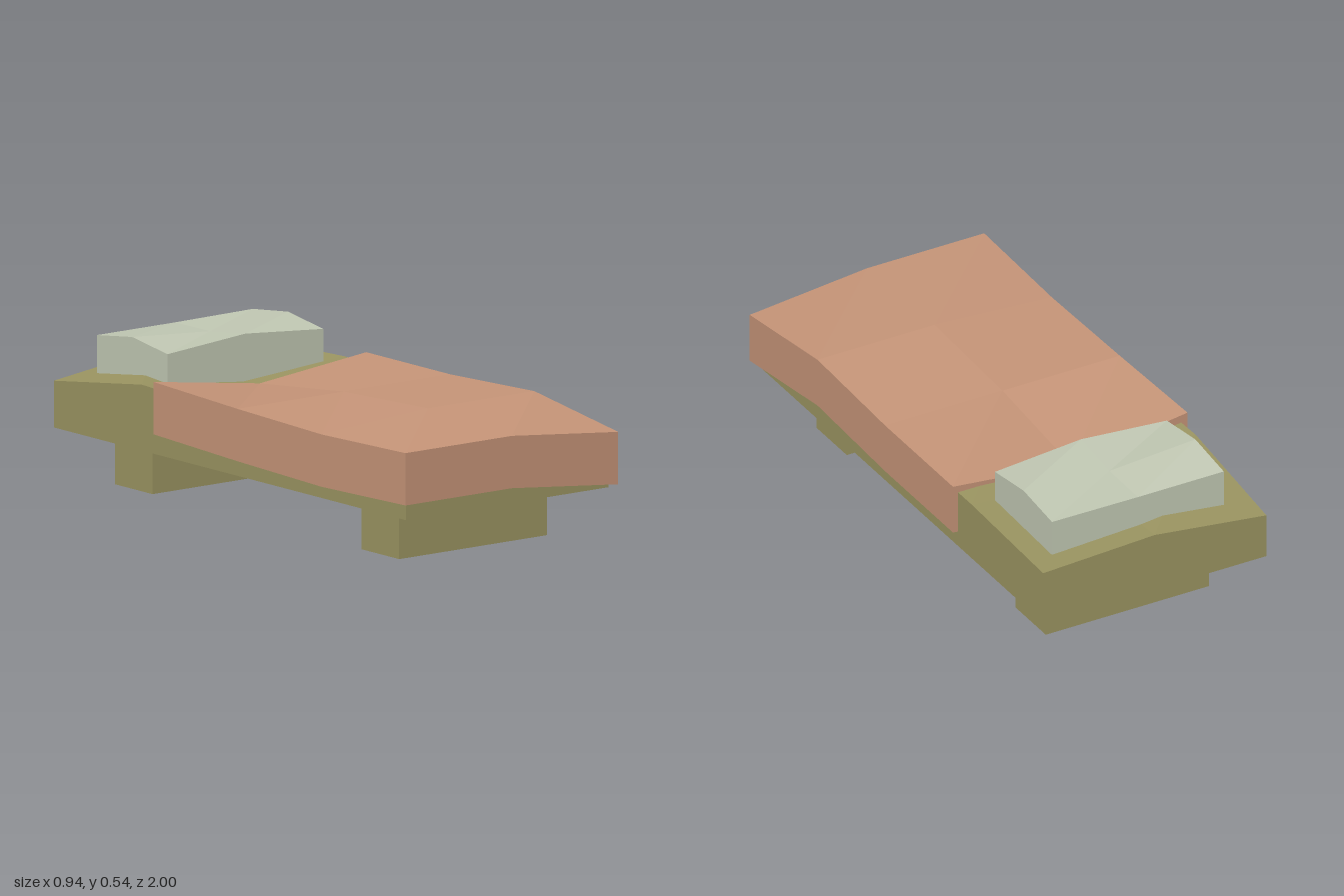
import * as THREE from 'three';

const material = (color) =>
  new THREE.MeshStandardMaterial({ color, flatShading: true, side: THREE.DoubleSide });

// Box whose top follows a grid of heights: one row per z step (back to front),
// one entry per x step (-x to +x). The underside is flat at `base`, or runs
// parallel to the top when `thickness` is given.
function slab(name, mat, [x0, x1], [z0, z1], tops, { base = 0, thickness = 0 }) {
  const cols = tops[0].length - 1;
  const rows = tops.length - 1;
  const geo = new THREE.BoxGeometry(1, 1, 1, cols, 1, rows);
  const p = geo.attributes.position;
  for (let i = 0; i < p.count; i++) {
    const u = p.getX(i) + 0.5;
    const v = p.getZ(i) + 0.5;
    const top = tops[Math.round(v * rows)][Math.round(u * cols)];
    const y = p.getY(i) > 0 ? top : thickness ? top - thickness : base;
    p.setXYZ(i, x0 + u * (x1 - x0), y, z0 + v * (z1 - z0));
  }
  geo.computeVertexNormals();
  const mesh = new THREE.Mesh(geo, mat);
  mesh.name = name;
  return mesh;
}

export function createModel() {
  const bed = new THREE.Group();
  bed.name = 'bed';
  const olive = material(0x9d9763);

  // Mattress with an uneven top
  bed.add(slab('mattress', olive, [-0.445, 0.445], [-1, 0.97], [
    [0.35, 0.405, 0.385],
    [0.418, 0.37, 0.402],
    [0.4, 0.4, 0.4],
    [0.39, 0.41, 0.4],
    [0.38, 0.38, 0.35],
  ], { base: 0.185 }));

  // Blanket draped over the front part
  bed.add(slab('blanket', material(0xc9977a), [-0.47, 0.465], [-0.41, 1], [
    [0.447, 0.381, 0.43],
    [0.43, 0.43, 0.43],
    [0.418, 0.449, 0.449],
    [0.43, 0.43, 0.383],
  ], { thickness: 0.185 }));

  // Pillow at the back
  bed.add(slab('pillow', material(0xc4cbb6), [-0.33, 0.355], [-0.905, -0.51], [
    [0.512, 0.512, 0.515],
    [0.538, 0.514, 0.538],
    [0.51, 0.538, 0.51],
  ], { base: 0.35 }));

  // Two wide feet
  for (const [name, z] of [['frontFoot', 0.675], ['backFoot', -0.705]]) {
    const foot = new THREE.Mesh(new THREE.BoxGeometry(0.65, 0.19, 0.21), olive);
    foot.name = name;
    foot.position.set(0, 0.095, z);
    bed.add(foot);
  }
  return bed;
}
